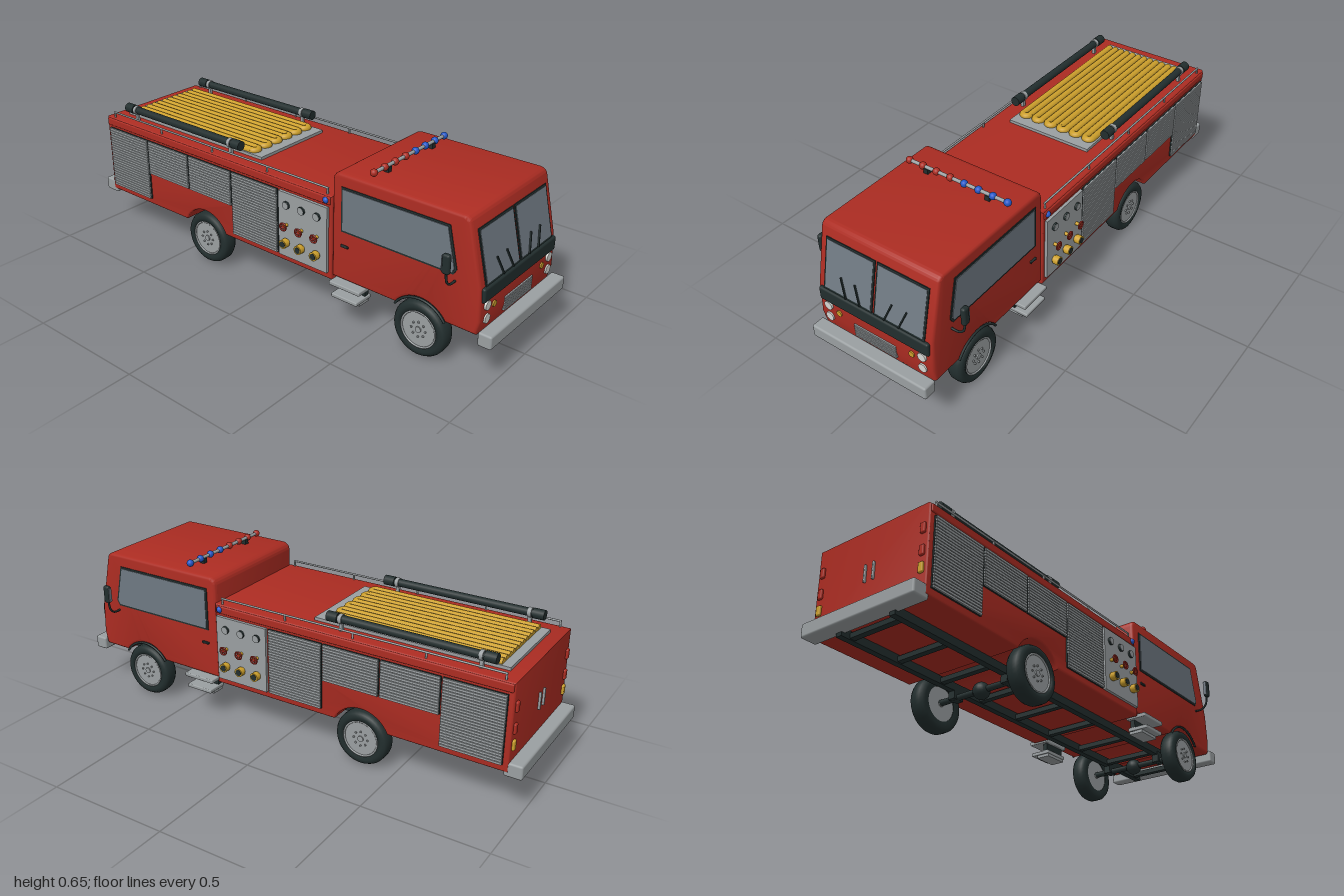
import * as THREE from 'three';
import { toCreasedNormals } from 'three/addons/utils/BufferGeometryUtils.js';
import { RoundedBoxGeometry } from 'three/addons/geometries/RoundedBoxGeometry.js';

const paint = (name, color) => Object.assign(new THREE.MeshStandardMaterial({ color }), { name });
const red = paint('red paint', 0xac2c22);
const dark = paint('dark rubber', 0x222e2e);
const grey = paint('grey metal', 0x9a9fa1);
const glass = paint('tinted glass', 0x6f7982);
const yellow = paint('yellow', 0xcda02c);
const white = paint('lamp white', 0xd6d6d2);
const blue = paint('blue lamp', 0x2458c8);

const box = (w, h, d) => new THREE.BoxGeometry(w, h, d);
const soft = (w, h, d, r = 0.006) => new RoundedBoxGeometry(w, h, d, 2, r);
const ball = (r) => new THREE.SphereGeometry(r, 20, 14);
// Cylinders along a chosen axis
const rod = (r, len, axis = 'z', seg = 20) => {
  const g = new THREE.CylinderGeometry(r, r, len, seg);
  if (axis === 'z') g.rotateX(Math.PI / 2);
  if (axis === 'x') g.rotateZ(Math.PI / 2);
  return g;
};

function add(parent, name, geo, mat, x = 0, y = 0, z = 0) {
  const m = new THREE.Mesh(geo, mat);
  m.name = name;
  m.position.set(x, y, z);
  parent.add(m);
  return m;
}

function group(parent, name) {
  const g = new THREE.Group();
  g.name = name;
  parent.add(g);
  return g;
}

const WHEELS = [-0.358, 0.707], AXLE_Y = 0.115;

// Side profile with a wheel arch in its bottom edge, extruded across the truck
function shell(left, bottom, wheelX, rest, halfWidth, bevel) {
  const r = 0.126, a = Math.asin((bottom - AXLE_Y) / r);
  const s = new THREE.Shape();
  s.moveTo(left, bottom);
  s.lineTo(wheelX - r * Math.cos(a), bottom);
  s.absarc(wheelX, AXLE_Y, r, Math.PI - a, a, true);
  rest(s);
  s.closePath();
  const depth = 2 * (halfWidth - bevel);
  const g = new THREE.ExtrudeGeometry(s, { depth, bevelEnabled: true, bevelSize: bevel,
    bevelThickness: bevel, bevelOffset: -bevel, bevelSegments: 3, curveSegments: 14 });
  g.translate(0, 0, -depth / 2);
  return toCreasedNormals(g, 0.6);
}

function plate(points, depth) {
  const s = new THREE.Shape(points.map(([x, y]) => new THREE.Vector2(x, y)));
  return new THREE.ExtrudeGeometry(s, { depth, bevelEnabled: false }).translate(0, 0, -depth / 2);
}

function buildCab(root) {
  const cab = group(root, 'cab');
  add(cab, 'cabShell', shell(0.312, 0.185, WHEELS[1], (s) => {
    s.lineTo(0.935, 0.185);
    s.lineTo(0.947, 0.24);
    s.lineTo(0.94, 0.37);
    s.lineTo(0.888, 0.592);
    s.quadraticCurveTo(0.882, 0.617, 0.855, 0.617);
    s.lineTo(0.342, 0.617);
    s.quadraticCurveTo(0.312, 0.612, 0.312, 0.582);
  }, 0.262, 0.012), red);

  // Sloping windscreen with frames and wipers
  const screen = group(cab, 'windscreen');
  screen.position.set(0.9175, 0.466, 0);
  screen.rotation.z = 0.23;
  for (const s of [1, -1]) {
    add(screen, 'windscreenFrame', box(0.006, 0.207, 0.226), dark, 0.001, 0, s * 0.117);
    add(screen, 'windscreenGlass', box(0.006, 0.191, 0.212), glass, 0.0025, 0, s * 0.117);
    for (const z of [0.135, 0.07]) {
      add(screen, 'wiper', box(0.006, 0.079, 0.005), dark, 0.009, -0.062, s * z).rotation.x = s * 0.37;
    }
  }

  // Front panel, lamps and grille
  add(cab, 'dashPanel', soft(0.024, 0.057, 0.5, 0.008), dark, 0.942, 0.338, 0);
  for (const s of [1, -1]) {
    for (const y of [0.29, 0.238]) add(cab, 'headlight', rod(0.018, 0.016, 'x', 24), white, 0.944, y, s * 0.216);
    add(cab, 'frontIndicator', rod(0.012, 0.016, 'x'), yellow, 0.942, 0.274, s * 0.168);
  }
  for (let i = 0; i < 6; i++) add(cab, 'grilleSlat', box(0.014, 0.0065, 0.192), grey, 0.944, 0.214 + i * 0.0097, 0);

  // Side windows, handles, arch trims and mirrors
  for (const s of [1, -1]) {
    add(cab, 'sideWindowFrame', plate([[0.355, 0.388], [0.835, 0.388], [0.848, 0.41], [0.812, 0.568], [0.355, 0.568]], 0.006), dark, 0, 0, s * 0.262);
    add(cab, 'sideWindowGlass', plate([[0.363, 0.396], [0.829, 0.396], [0.839, 0.412], [0.805, 0.56], [0.363, 0.56]], 0.006), glass, 0, 0, s * 0.2645);
    add(cab, 'doorHandle', soft(0.034, 0.01, 0.01, 0.003), dark, 0.372, 0.33, s * 0.264);
    const arc = 2.0;
    const trim = new THREE.TorusGeometry(0.124, 0.005, 8, 24, arc).rotateZ((Math.PI - arc) / 2);
    add(cab, 'archTrim', trim, dark, WHEELS[1], AXLE_Y, s * 0.261);
    const arm = new THREE.CatmullRomCurve3([[0.255, 0.365], [0.295, 0.367], [0.315, 0.385], [0.325, 0.44]]
      .map(([z, y]) => new THREE.Vector3(0.842, y, s * z)));
    add(cab, 'mirrorArm', new THREE.TubeGeometry(arm, 16, 0.0045, 8), dark);
    add(cab, 'mirrorHousing', soft(0.03, 0.076, 0.021, 0.009), dark, 0.842, 0.458, s * 0.324);
    add(cab, 'mirrorGlass', box(0.003, 0.06, 0.014), glass, 0.8265, 0.458, s * 0.324);
  }

  // Roof light bar
  add(cab, 'lightBar', rod(0.007, 0.45), grey, 0.465, 0.64, 0);
  for (const s of [1, -1]) add(cab, 'lightBarBracket', box(0.02, 0.026, 0.02), dark, 0.465, 0.624, s * 0.14);
  for (let i = 0; i < 8; i++) add(cab, 'beacon', ball(0.0145), i < 4 ? blue : red, 0.465, 0.64, -0.223 + i * 0.0637);
}

// Roller shutter: dark backing with rows of grey slats
function shutter(parent, x0, x1, y0, y1, s) {
  const g = group(parent, 'shutter'), w = x1 - x0, h = y1 - y0, cx = (x0 + x1) / 2;
  add(g, 'shutterBack', box(w, h, 0.01), dark, cx, (y0 + y1) / 2, s * 0.268);
  const n = Math.round(h / 0.0114), p = h / n;
  for (let i = 0; i < n; i++) add(g, 'slat', box(w - 0.004, p * 0.76, 0.012), grey, cx, y0 + p * (i + 0.5), s * 0.273);
}

function buildBody(root) {
  const body = group(root, 'body');
  add(body, 'bodyShell', shell(-0.948, 0.168, WHEELS[0], (s) => {
    s.lineTo(0.314, 0.168);
    s.lineTo(0.314, 0.515);
    s.lineTo(-0.948, 0.515);
  }, 0.267, 0.007), red);

  for (const s of [1, -1]) {
    shutter(body, -0.927, -0.686, 0.197, 0.47, s);
    shutter(body, -0.68, -0.44, 0.32, 0.47, s);
    shutter(body, -0.434, -0.195, 0.32, 0.47, s);
    shutter(body, -0.189, 0.052, 0.197, 0.47, s);
    add(body, 'topMoulding', soft(1.25, 0.032, 0.012, 0.005), red, -0.318, 0.495, s * 0.266);

    // Pump panel: gauges, valve wheels and capped outlets
    const pump = group(body, 'pumpPanel');
    add(pump, 'panelPlate', box(0.238, 0.273, 0.014), grey, 0.181, 0.3335, s * 0.272);
    for (const x of [0.104, 0.179, 0.254]) {
      add(pump, 'gaugeRim', rod(0.016, 0.014), dark, x, 0.42, s * 0.28);
      add(pump, 'gaugeFace', rod(0.0145, 0.016), grey, x, 0.42, s * 0.2805);
      add(pump, 'valveStem', rod(0.007, 0.03), yellow, x, 0.336, s * 0.287);
      add(pump, 'valveWheel', new THREE.TorusGeometry(0.0155, 0.0032, 8, 20), red, x, 0.336, s * 0.301);
      for (let k = 0; k < 3; k++) {
        add(pump, 'valveSpoke', box(0.03, 0.004, 0.004), red, x, 0.336, s * 0.301).rotation.z = k * Math.PI / 3;
      }
      add(pump, 'outlet', rod(0.0145, 0.03), yellow, x, 0.262, s * 0.286);
      add(pump, 'outletCollar', rod(0.018, 0.022), yellow, x, 0.262, s * 0.295);
      add(pump, 'outletBore', rod(0.013, 0.004), dark, x, 0.262, s * 0.3055);
    }
    add(body, 'sideLamp', ball(0.013), blue, 0.288, 0.496, s * 0.269);

    // Roof handrails
    add(body, 'handrail', rod(0.004, 1.2, 'x', 10), grey, -0.312, 0.538, s * 0.255);
    for (let i = 0; i < 5; i++) add(body, 'handrailPost', rod(0.004, 0.028, 'y', 8), grey, -0.908 + i * 0.298, 0.524, s * 0.255);

    // Rear lamps and door handles
    for (const [y, mat] of [[0.27, yellow], [0.335, red], [0.42, red]]) {
      add(body, 'rearLamp', soft(0.016, 0.04, 0.022, 0.005), mat, -0.949, y, s * 0.242);
    }
    add(body, 'rearHandle', soft(0.012, 0.07, 0.008, 0.003), grey, -0.951, 0.34, s * 0.02);
  }
}

function buildRoofLoad(root) {
  // Folded hose in a shallow tray
  const bed = group(root, 'hoseBed');
  add(bed, 'hoseTray', box(0.79, 0.014, 0.376), grey, -0.5, 0.52, 0);
  const pitch = 0.0304, r = 0.0145;
  for (let i = 0; i < 12; i++) {
    const z = (i - 5.5) * pitch;
    add(bed, 'hoseRun', rod(r, 0.685, 'x', 12), yellow, -0.5175, 0.531, z);
    if (i % 2 === 0) {
      const bend = new THREE.TorusGeometry(pitch / 2, r, 10, 14, Math.PI).rotateZ(-Math.PI / 2).rotateX(Math.PI / 2);
      add(bed, 'hoseBend', bend, yellow, -0.175, 0.531, z + pitch / 2);
    }
  }
  // Suction hoses held by clamps
  for (const s of [1, -1]) {
    const hose = group(root, 'suctionHose');
    hose.position.set(-0.522, 0.563, s * 0.218);
    add(hose, 'hosePipe', rod(0.016, 0.67, 'x'), dark);
    for (const e of [1, -1]) {
      add(hose, 'hoseCoupling', rod(0.02, 0.045, 'x'), dark, e * 0.315, 0, 0);
      add(hose, 'clampRing', rod(0.0195, 0.014, 'x'), grey, e * 0.28, 0, 0);
      add(hose, 'clampFoot', box(0.014, 0.04, 0.012), grey, e * 0.28, -0.03, 0);
    }
  }
}

function buildChassis(root) {
  const ch = group(root, 'chassis');
  for (const s of [1, -1]) add(ch, 'frameRail', box(1.9, 0.032, 0.026), dark, 0, 0.152, s * 0.125);
  for (let i = 0; i < 9; i++) add(ch, 'crossMember', box(0.024, 0.02, 0.25), dark, -0.9 + i * 0.225, 0.15, 0);
  add(ch, 'frontBumper', soft(0.055, 0.054, 0.53, 0.008), grey, 0.9725, 0.179, 0);
  add(ch, 'rearBumper', soft(0.07, 0.056, 0.53, 0.008), grey, -0.965, 0.179, 0);

  for (const x of WHEELS) {
    add(ch, 'axle', rod(0.0125, 0.42), dark, x, AXLE_Y, 0);
    add(ch, 'differential', ball(0.034), dark, x, 0.113, 0);
    for (const s of [1, -1]) {
      add(ch, 'springMount', box(0.05, 0.046, 0.03), dark, x, 0.128, s * 0.127);
      buildWheel(ch, x, s);
    }
  }
  // Cab steps
  for (const s of [1, -1]) {
    add(ch, 'upperStep', soft(0.142, 0.017, 0.09, 0.004), grey, 0.395, 0.174, s * 0.25);
    add(ch, 'lowerStep', soft(0.12, 0.016, 0.09, 0.004), grey, 0.395, 0.126, s * 0.25);
    add(ch, 'stepFoot', box(0.11, 0.012, 0.06), grey, 0.395, 0.112, s * 0.238);
    add(ch, 'stepBack', box(0.11, 0.06, 0.02), dark, 0.395, 0.146, s * 0.225);
  }
}

// Tyre is a lathed section; the hub is a dished disc with bolts
function buildWheel(parent, x, s) {
  const w = group(parent, 'wheel');
  w.position.set(x, AXLE_Y - 0.003, s * 0.231);
  w.rotation.x = s * Math.PI / 2;
  const section = [[0.07, -0.03], [0.09, -0.034], [0.104, -0.03], [0.111, -0.018], [0.112, 0],
    [0.111, 0.018], [0.104, 0.03], [0.09, 0.034], [0.07, 0.03], [0.07, -0.03]];
  add(w, 'tyre', new THREE.LatheGeometry(section.map(([r, y]) => new THREE.Vector2(r, y)), 40), dark);
  add(w, 'hubDisc', rod(0.074, 0.056, 'y', 36), grey);
  const rim = new THREE.TorusGeometry(0.072, 0.004, 8, 36).rotateX(Math.PI / 2);
  add(w, 'hubRim', rim, grey, 0, 0.029, 0);
  add(w, 'hubCap', rod(0.012, 0.066, 'y'), grey);
  for (let i = 0; i < 8; i++) {
    const a = i * Math.PI / 4;
    add(w, 'wheelBolt', rod(0.004, 0.008, 'y', 8), grey, 0.03 * Math.cos(a), 0.029, 0.03 * Math.sin(a));
  }
}

export function createModel() {
  const root = new THREE.Group();
  root.name = 'fireEngine';
  buildCab(root);
  buildBody(root);
  buildRoofLoad(root);
  buildChassis(root);
  return root;
}
